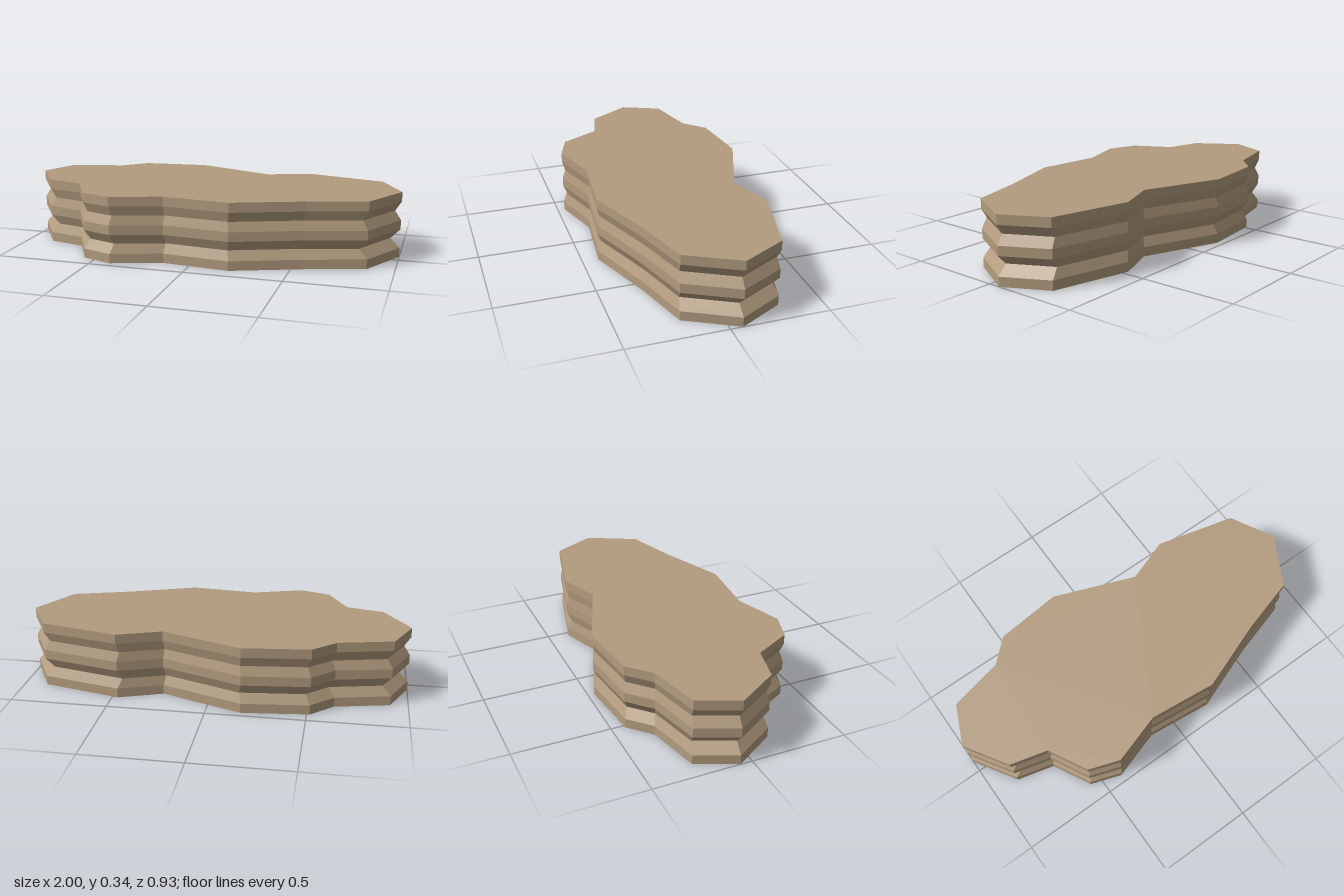
import * as THREE from 'three';

// Slab outline as [x, z], counter-clockwise seen from above
const OUTLINE = [
  [-1, -0.06], [-0.86, 0.16], [-0.665, 0.21], [-0.56, 0.407], [-0.4, 0.462],
  [-0.14, 0.38], [0.21, 0.416], [0.565, 0.284], [0.862, 0.196], [1, -0.062],
  [0.88, -0.288], [0.47, -0.388], [0.246, -0.307], [-0.175, -0.467],
  [-0.515, -0.432], [-0.63, -0.325], [-0.91, -0.262],
];

// Strata as [height, outline scale]: three ledges parted by two grooves
const LEVELS = [
  [0, 1], [0.049, 1], [0.099, 0.951], [0.148, 1],
  [0.197, 1], [0.246, 0.968], [0.295, 1], [0.345, 1],
];

function layeredSlab(outline, levels) {
  const n = outline.length;
  const positions = levels.flatMap(([y, s]) => outline.flatMap(([x, z]) => [x * s, y, z * s]));
  const index = [];

  // Side bands between neighbouring levels
  for (let k = 0; k < levels.length - 1; k++) {
    for (let i = 0; i < n; i++) {
      const a = k * n + i, b = k * n + (i + 1) % n;
      index.push(a, b, b + n, a, b + n, a + n);
    }
  }

  // Flat top and underside
  const contour = outline.map(([x, z]) => new THREE.Vector2(x, -z));
  const top = (levels.length - 1) * n;
  for (const [a, b, c] of THREE.ShapeUtils.triangulateShape(contour, [])) {
    index.push(top + a, top + b, top + c, a, c, b);
  }

  const geometry = new THREE.BufferGeometry();
  geometry.setAttribute('position', new THREE.Float32BufferAttribute(positions, 3));
  geometry.setIndex(index);
  const flat = geometry.toNonIndexed();
  flat.computeVertexNormals();
  return flat;
}

export function createModel() {
  const group = new THREE.Group();
  group.name = 'layeredRock';
  const stone = new THREE.MeshStandardMaterial({ color: 0xb39c7f, flatShading: true });
  const slab = new THREE.Mesh(layeredSlab(OUTLINE, LEVELS), stone);
  slab.name = 'rockSlab';
  group.add(slab);
  return group;
}
